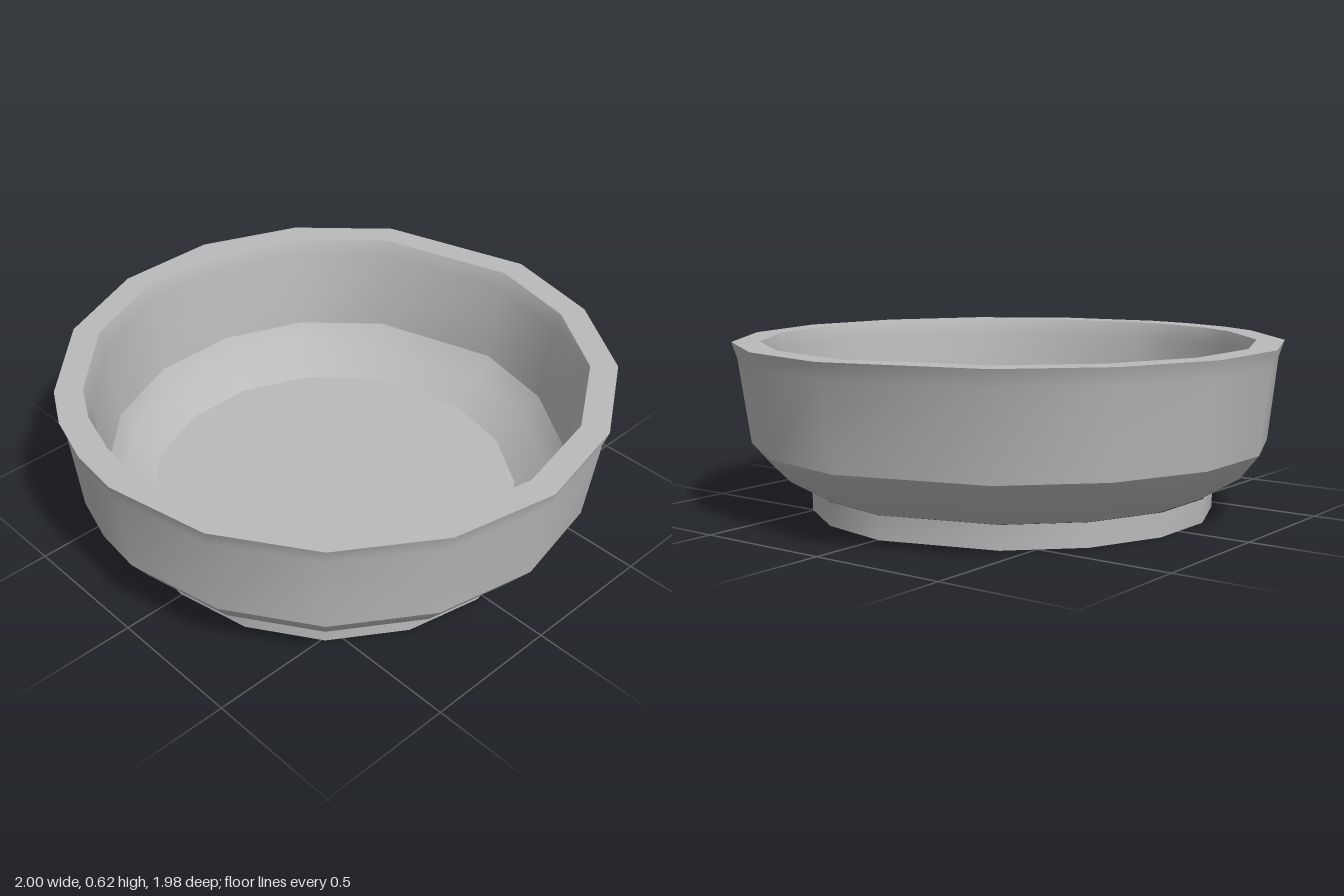
import * as THREE from 'three';

// Rim plan: a slightly irregular 17-sided ring, [x, z], counter-clockwise from the front
const PLAN = [
  [0, 0.99], [0.38, 0.91], [0.71, 0.69], [0.92, 0.37], [1, -0.01], [0.83, -0.56],
  [0.55, -0.84], [0.19, -0.99], [-0.19, -0.99], [-0.55, -0.84], [-0.83, -0.56],
  [-0.92, -0.4], [-0.98, -0.2], [-1, -0.01], [-0.92, 0.37], [-0.71, 0.69], [-0.38, 0.91],
];

// Joins scaled copies of the plan; each ring is [scale, height, x shift]
function loft(rings) {
  const n = PLAN.length, positions = [], index = [];
  for (const [s, y, dx = 0] of rings)
    for (const [x, z] of PLAN) positions.push(x * s + dx, y, z * s);
  for (let r = 0; r < rings.length - 1; r++) {
    for (let j = 0; j < n; j++) {
      const a = r * n + j, b = r * n + (j + 1) % n;
      if (rings[r][0] > 0) index.push(a, b, b + n);
      if (rings[r + 1][0] > 0) index.push(a, b + n, a + n);
      else if (rings[r][0] > 0) index[index.length - 1] = a + n;
    }
  }
  const g = new THREE.BufferGeometry();
  g.setAttribute('position', new THREE.Float32BufferAttribute(positions, 3));
  g.setIndex(index);
  g.computeVertexNormals();
  return g;
}

export function createModel() {
  const model = new THREE.Group();
  model.name = 'bowl';
  const grey = new THREE.MeshStandardMaterial({ color: 0xbababa });
  grey.name = 'grey';

  // Smooth bands, with a hard edge between one band and the next
  const bands = {
    baseUnderside: [[0, 0, -0.025], [0.74, 0, -0.025]],
    baseSide: [[0.74, 0, -0.025], [0.74, 0.085, -0.025]],
    lowerBowl: [[0.735, 0.085, -0.022], [0.875, 0.17, -0.015], [0.943, 0.255, -0.008]],
    outerWall: [[0.943, 0.255, -0.008], [0.98, 0.56], [1, 0.62]],
    rim: [[1, 0.62], [0.9, 0.62]],
    innerWall: [[0.9, 0.62], [0.88, 0.56], [0.845, 0.26, -0.008]],
    innerCurve: [[0.845, 0.26, -0.008], [0.795, 0.18, -0.015], [0.685, 0.1, -0.025]],
    floor: [[0.685, 0.1, -0.025], [0, 0.1, -0.025]],
  };
  for (const [name, rings] of Object.entries(bands)) {
    const mesh = new THREE.Mesh(loft(rings), grey);
    mesh.name = name;
    model.add(mesh);
  }
  return model;
}
